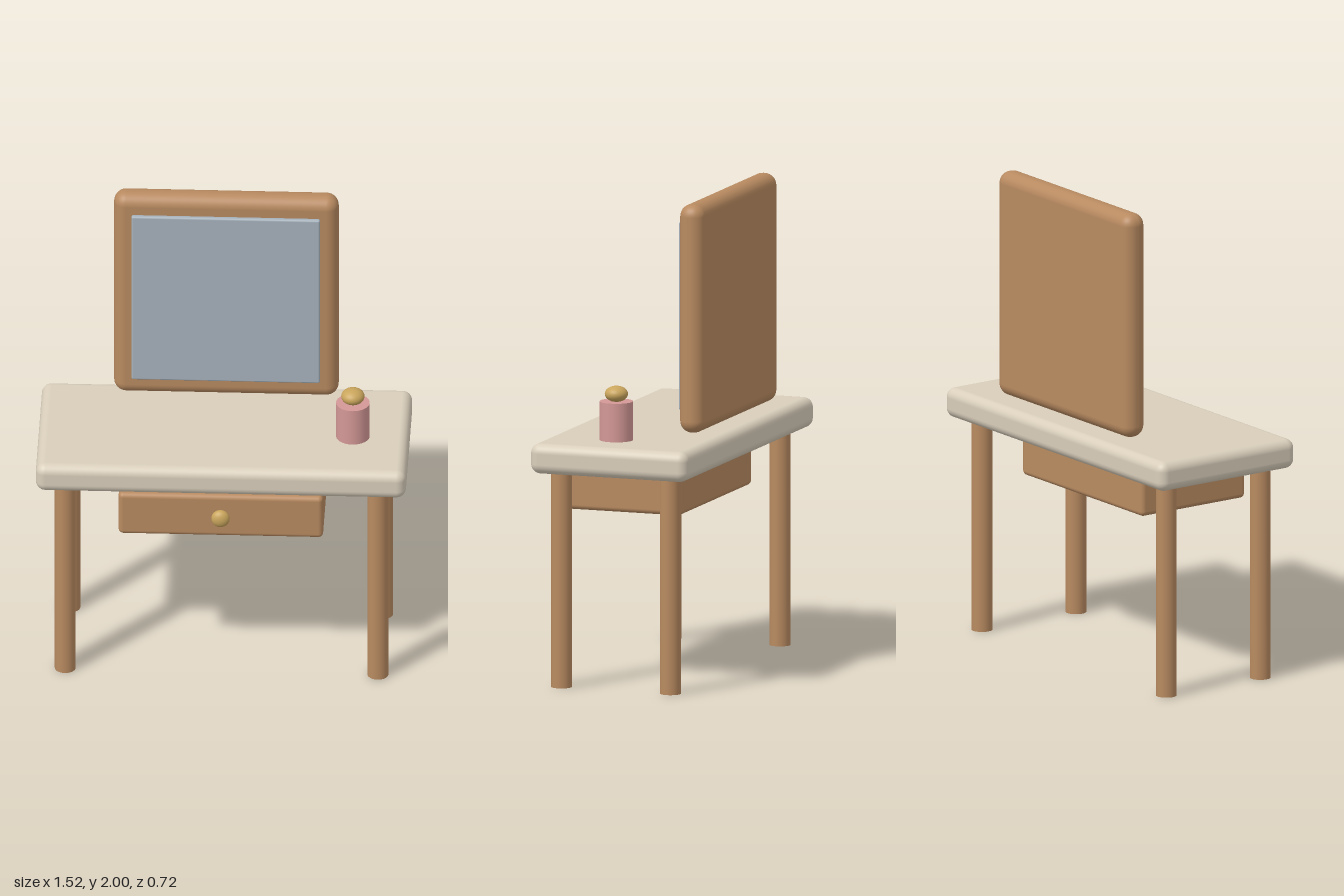
import * as THREE from 'three';
import { RoundedBoxGeometry } from 'three/addons/geometries/RoundedBoxGeometry.js';

const paint = (color) => new THREE.MeshStandardMaterial({ color });

export function createModel() {
  const model = new THREE.Group();
  const wood = paint(0xb88a60);
  const cream = paint(0xd9cebb);
  const glass = paint(0xa6b2bc);
  const pink = paint(0xd39896);
  const gold = paint(0xc9a55c);

  const add = (name, geometry, material, x, y, z) => {
    const mesh = new THREE.Mesh(geometry, material);
    mesh.name = name;
    mesh.position.set(x, y, z);
    model.add(mesh);
    return mesh;
  };
  // Rounded box given by its limits on each axis
  const box = (name, material, [x0, x1], [y0, y1], [z0, z1], radius) =>
    add(name, new RoundedBoxGeometry(x1 - x0, y1 - y0, z1 - z0, 5, radius), material,
      (x0 + x1) / 2, (y0 + y1) / 2, (z0 + z1) / 2);
  // Flattened ball
  const ball = (name, x, y, z, rx, ry, rz) =>
    add(name, new THREE.SphereGeometry(1, 32, 20), gold, x, y, z).scale.set(rx, ry, rz);

  // Table
  box('tableTop', cream, [-0.76, 0.76], [0.897, 1.022], [-0.36, 0.33], 0.04);
  const legGeometry = new THREE.CylinderGeometry(0.043, 0.043, 0.9, 32);
  for (const [side, x] of [['Left', 0.642], ['Right', -0.642]]) {
    add(`front${side}Leg`, legGeometry, wood, x, 0.45, 0.229);
    add(`back${side}Leg`, legGeometry, wood, x, 0.45, -0.248);
  }

  // Drawer and its knob
  box('drawer', wood, [-0.42, 0.42], [0.70, 0.895], [-0.21, 0.318], 0.02);
  ball('drawerKnob', 0, 0.797, 0.334, 0.038, 0.038, 0.026);

  // Mirror
  box('mirrorFrame', wood, [-0.461, 0.461], [1.05, 2], [-0.315, -0.208], 0.05);
  box('mirrorGlass', glass, [-0.387, 0.387], [1.135, 1.918], [-0.21, -0.188], 0.008);

  // Jar with a domed lid
  add('jar', new THREE.CylinderGeometry(0.069, 0.069, 0.165, 40), pink, 0.531, 1.1, 0.03);
  ball('jarLid', 0.531, 1.213, 0.03, 0.048, 0.033, 0.048);

  return model;
}
